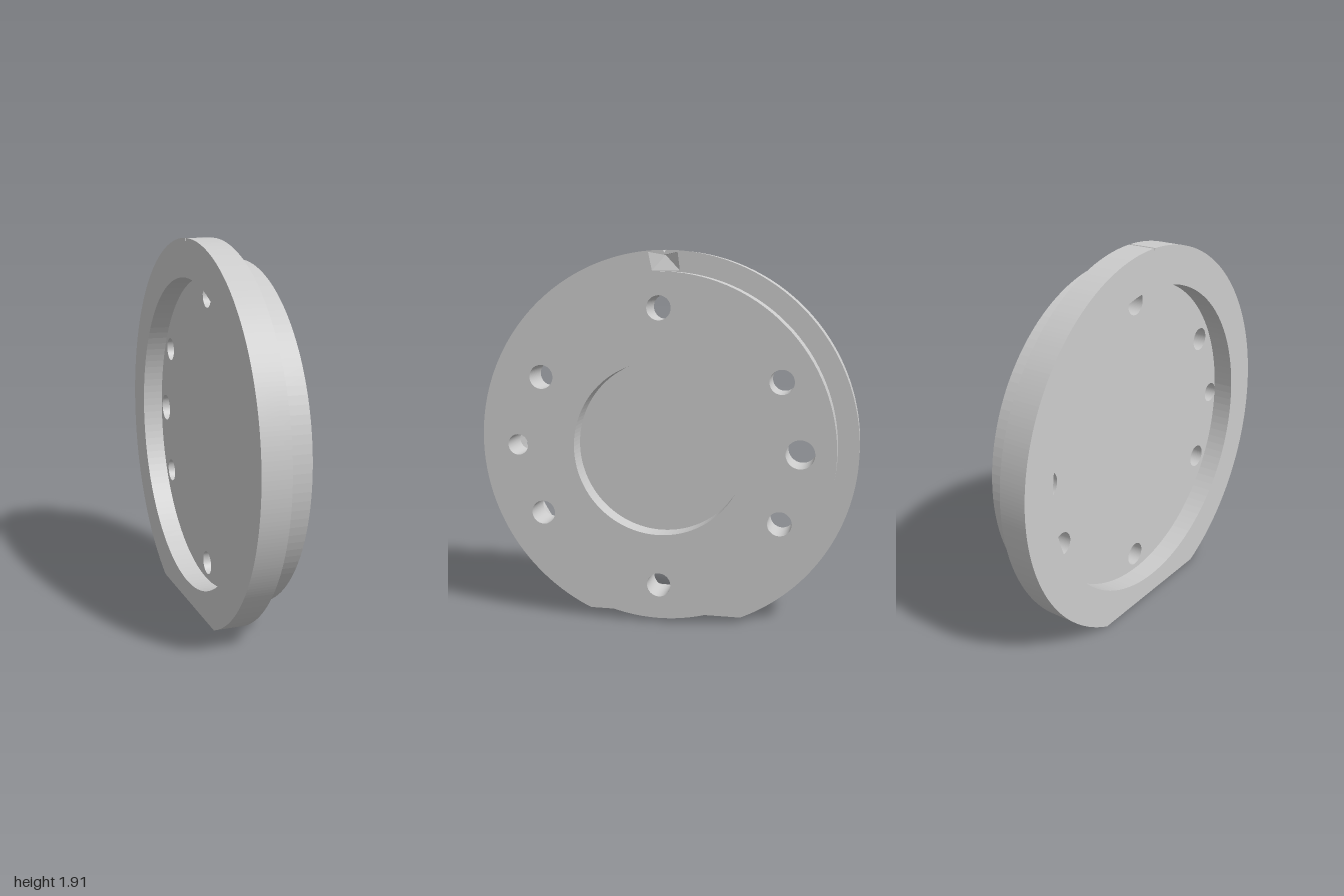
import * as THREE from 'three';

const CY = 0.913;                      // height of the disc axis
const X = [-0.145, -0.035, 0, 0.035, 0.145]; // layer planes along the axis
const material = new THREE.MeshStandardMaterial({ color: 0xcccccc, side: THREE.DoubleSide });

function circle(Type, x, y, r) {
  const c = new Type();
  c.absarc(x, y, r, 0, Math.PI * 2, false);
  return c;
}

// Round outline with a flat at the bottom and a fine index slot at the top
function flangeOutline() {
  const a = Math.asin(CY), slot = 0.007;
  const s = new THREE.Shape();
  s.absarc(0, 0, 1, -Math.PI / 2 + (Math.PI / 2 - a), Math.PI / 2 - slot, false);
  s.lineTo(0, 0.985);
  s.absarc(0, 0, 1, Math.PI / 2 + slot, Math.PI + a, false);
  s.closePath();
  return s;
}

// Six bolt holes and two different dowel holes
function drill(shape) {
  for (let i = 0; i < 6; i++) {
    const t = Math.PI / 6 + i * Math.PI / 3;
    shape.holes.push(circle(THREE.Path, 0.714 * Math.cos(t), 0.714 * Math.sin(t), 0.062));
  }
  shape.holes.push(circle(THREE.Path, -0.75, 0, 0.054));
  shape.holes.push(circle(THREE.Path, 0.715, 0, 0.073));
  return shape;
}

export function createModel() {
  const group = new THREE.Group();

  // Shapes are drawn facing +z, then turned so the axis runs along x
  function add(name, geometry, x) {
    geometry.rotateY(Math.PI / 2);
    geometry.translate(x, CY, 0);
    const mesh = new THREE.Mesh(geometry, material);
    mesh.name = name;
    group.add(mesh);
  }
  function layer(name, shape, i) {
    add(name, new THREE.ExtrudeGeometry(shape, {
      depth: X[i + 1] - X[i], bevelEnabled: false, curveSegments: 64,
    }), X[i]);
  }

  // Flange rim around the rear recess
  const rim = flangeOutline();
  rim.holes.push(circle(THREE.Path, 0, 0, 0.805));
  layer('flangeRim', rim, 0);

  // Flange web, with the index notch opened in its front face
  const notch = [[-0.085, 0.99], [0, 0.975], [0.068, 0.99], [0.08, 0.897], [-0.065, 0.897]]
    .map(([x, y]) => new THREE.Vector2(x, y));
  const web = drill(flangeOutline());
  web.holes.push(new THREE.Path(notch));
  layer('flangeWeb', web, 1);

  // Boss: closed floor, then the wall around the centre recess
  layer('bossFloor', drill(circle(THREE.Shape, 0, 0, 0.893)), 2);
  const boss = drill(circle(THREE.Shape, 0, 0, 0.893));
  boss.holes.push(circle(THREE.Path, 0, 0, 0.447));
  layer('bossWall', boss, 3);

  // Sloping sides of the index notch, meeting at a point near the rim
  const [A, , B, C, D] = notch, depth = X[2] - X[1], pos = [];
  for (const [p, q] of [[A, D], [D, C], [C, B]]) {
    pos.push(p.x, p.y, depth, q.x, q.y, depth, 0, 0.975, 0);
  }
  const sides = new THREE.BufferGeometry();
  sides.setAttribute('position', new THREE.Float32BufferAttribute(pos, 3));
  sides.computeVertexNormals();
  add('indexNotch', sides, X[1]);

  return group;
}
